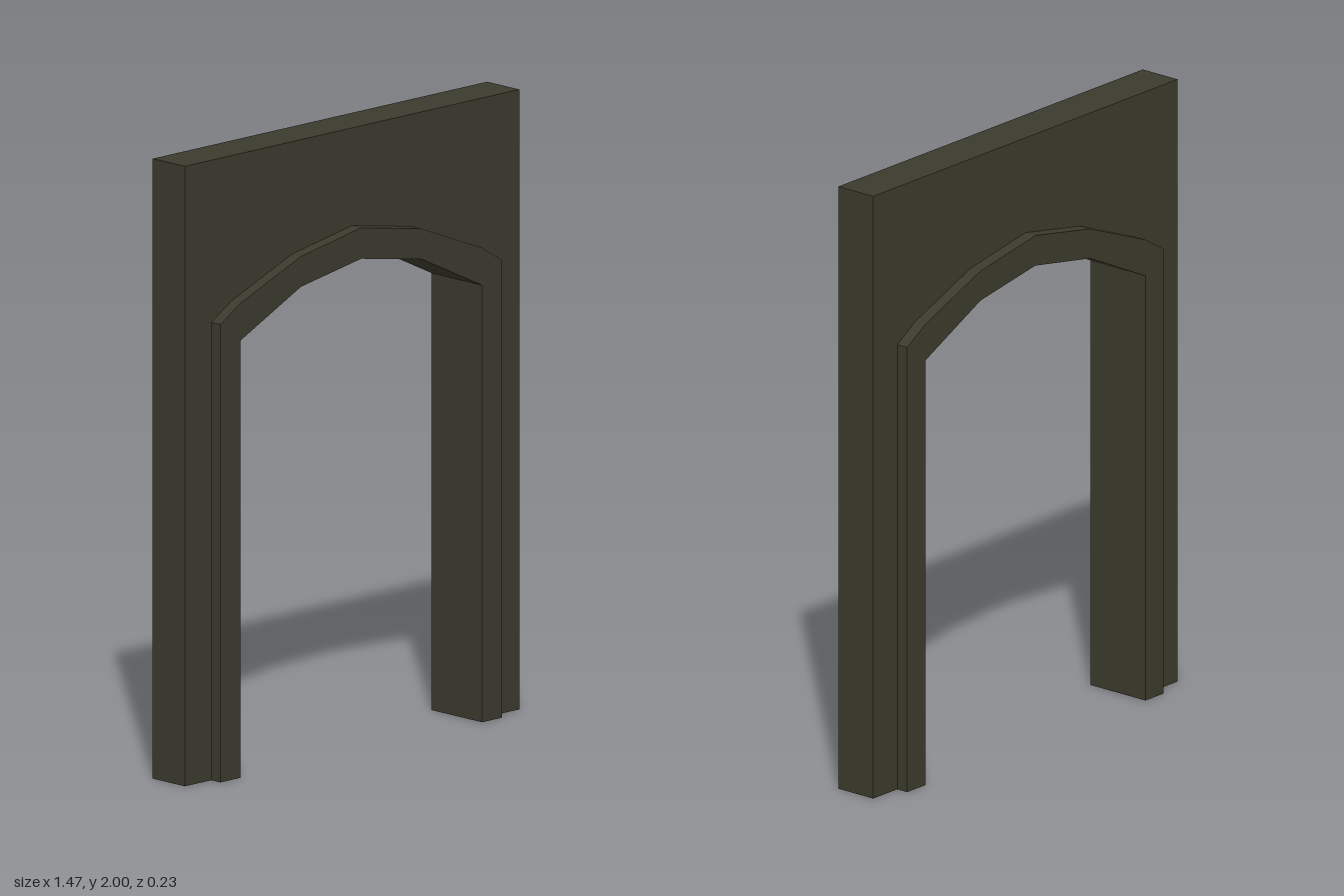
import * as THREE from 'three';

// Right half of each outline, from the foot up to the crown
const wallEdge = [[0.733, 0], [0.733, 2]];
const frameEdge = [[0.617, 0], [0.617, 1.477], [0.529, 1.531], [0.264, 1.637], [0, 1.685]];
const openingEdge = [[0.53, 0], [0.53, 1.41], [0.264, 1.539], [0, 1.585]];

// Complete a half outline by mirroring it across x = 0
function mirrored(half) {
  const left = half.filter(([x]) => x > 0).reverse().map(([x, y]) => [-x, y]);
  return [...half, ...left];
}

// Portal-shaped slab between an outer and an inner outline, centred on z = 0
function portal(name, outer, inner, depth, material) {
  const points = [...mirrored(outer), ...mirrored(inner).reverse()];
  const shape = new THREE.Shape(points.map(([x, y]) => new THREE.Vector2(x, y)));
  const geometry = new THREE.ExtrudeGeometry(shape, { depth, bevelEnabled: false });
  geometry.translate(0, 0, -depth / 2);
  const mesh = new THREE.Mesh(geometry, material);
  mesh.name = name;
  return mesh;
}

export function createModel() {
  const stone = new THREE.MeshStandardMaterial({ color: 0x3b3a2d, flatShading: true });
  stone.name = 'dark olive stone';

  const group = new THREE.Group();
  group.name = 'archway';
  // Wall panel around the thicker door frame
  group.add(portal('wall', wallEdge, frameEdge, 0.144, stone));
  // Raised frame, proud of the wall on both sides
  group.add(portal('archFrame', frameEdge, openingEdge, 0.226, stone));
  return group;
}
